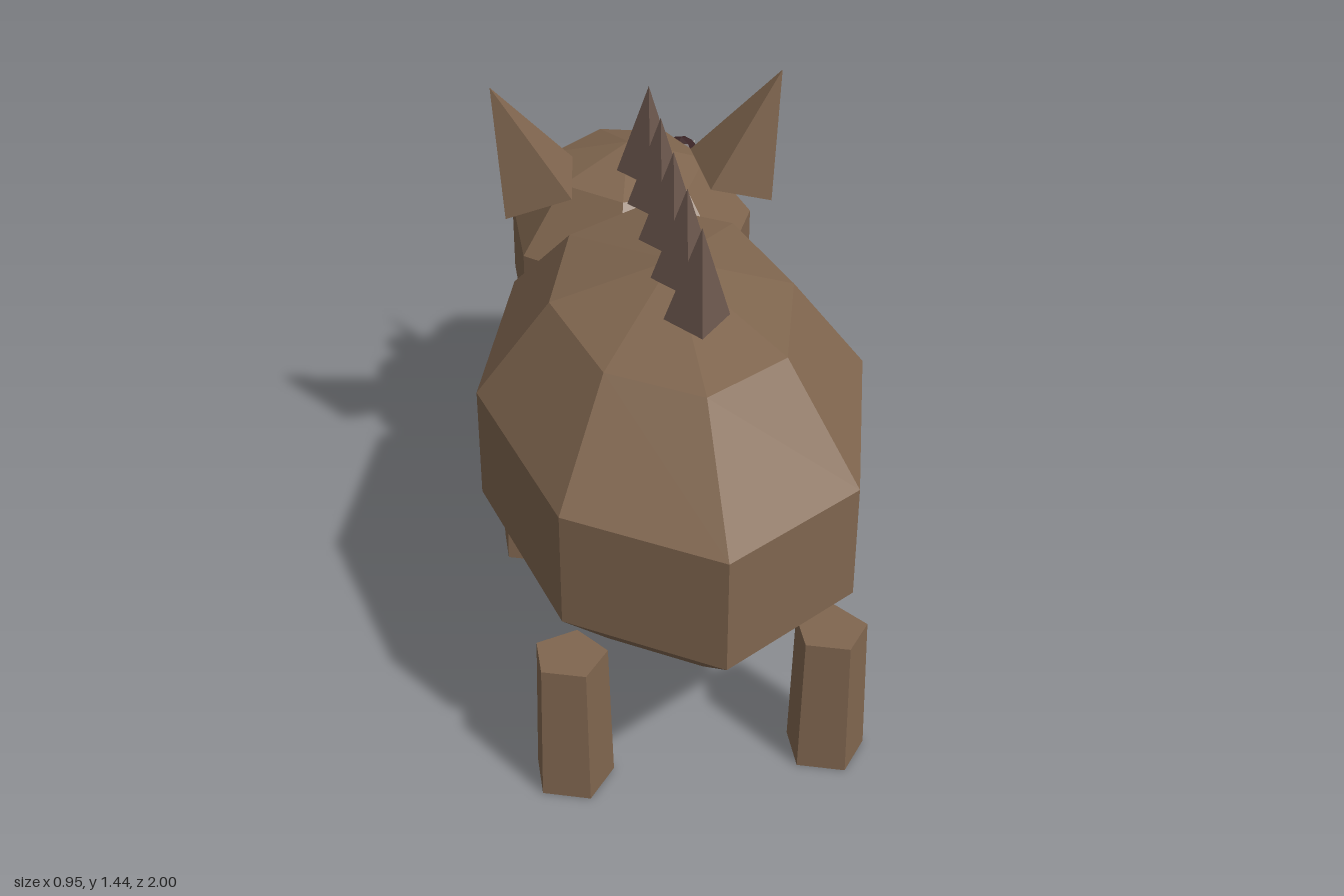
import * as THREE from 'three';

export function createModel() {
  const model = new THREE.Group();
  const paint = (color) => new THREE.MeshStandardMaterial({ color, flatShading: true });
  const hide = paint(0x80664f), bristle = paint(0x6f5a50), pink = paint(0xa88689);
  const ivory = paint(0xc8cabe), dark = paint(0x3a2426);
  const UP = new THREE.Vector3(0, 1, 0);

  function add(name, geometry, material, x, y, z) {
    const mesh = new THREE.Mesh(geometry, material);
    mesh.name = name;
    mesh.position.set(x, y, z);
    model.add(mesh);
    return mesh;
  }

  // Cone running from the centre of its base to its tip
  function spike(name, material, base, tip, radius, sides, turn) {
    const a = new THREE.Vector3(...base), b = new THREE.Vector3(...tip);
    const geometry = new THREE.ConeGeometry(radius, a.distanceTo(b), sides, 1, false, turn);
    const mid = a.clone().add(b).multiplyScalar(0.5);
    const mesh = add(name, geometry, material, mid.x, mid.y, mid.z);
    mesh.quaternion.setFromUnitVectors(UP, b.sub(a).normalize());
  }

  // Body and head: coarse stretched spheres, head towards -z
  add('body', new THREE.SphereGeometry(1, 8, 5), hide, 0, 0.692, 0.25).scale.set(0.5, 0.468, 0.79);
  const head = add('head', new THREE.SphereGeometry(1, 7, 5), hide, 0, 0.78, -0.495);
  head.scale.set(0.357, 0.34, 0.403);
  head.rotation.y = Math.PI;

  // Snout
  const snout = new THREE.CylinderGeometry(0.175, 0.175, 0.2, 7, 1, false, Math.PI / 2);
  add('snout', snout.rotateX(Math.PI / 2), pink, 0, 0.693, -0.875);

  // Paired parts
  for (const s of [-1, 1]) {
    const side = s > 0 ? 'left' : 'right';
    spike(side + 'Ear', hide, [s * 0.255, 1.07, -0.355], [s * 0.375, 1.38, -0.31], 0.13, 4, s * 0.95);
    spike(side + 'Tusk', ivory, [s * 0.2, 0.585, -0.815], [s * 0.27, 0.875, -1], 0.05, 5, s * Math.PI / 2);
    add(side + 'Eye', new THREE.SphereGeometry(0.052, 6, 5), dark, s * 0.188, 0.95, -0.75);
    for (const [name, z] of [['FrontLeg', -0.245], ['BackLeg', 0.695]]) {
      const leg = new THREE.CylinderGeometry(0.09, 0.1, 0.375, 5, 1, false, Math.PI / 2);
      add(side + name, leg, hide, s * 0.313, 0.1875, z);
    }
  }

  // Row of spines along the back, leaning backwards
  for (let i = 0; i < 5; i++) {
    const z = -0.12 + i * 0.1875;
    spike('spine' + (i + 1), bristle, [0, 1.195, z - 0.052], [0, 1.44, z], 0.074, 4, 0);
  }
  return model;
}
